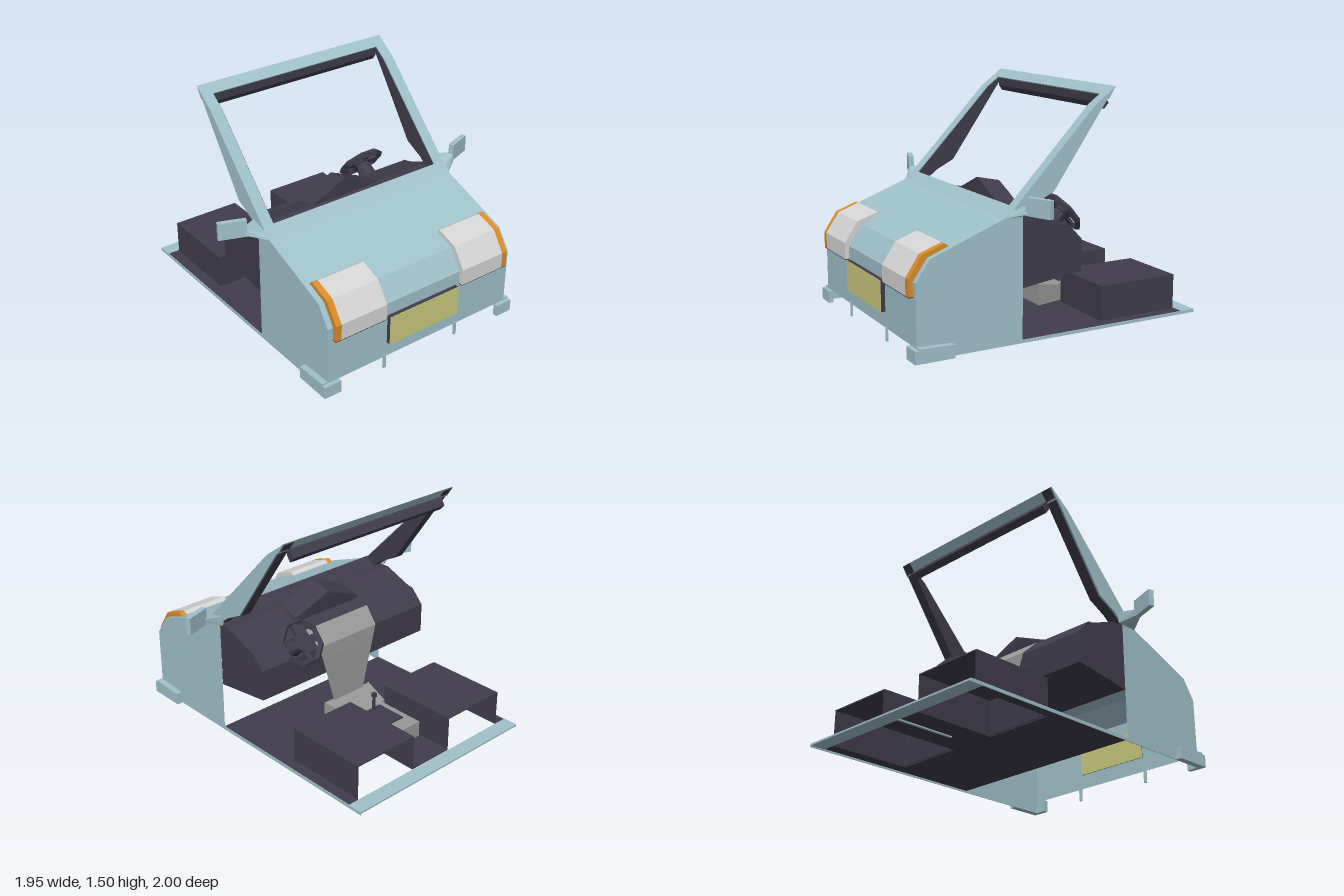
import * as THREE from 'three';
import { ConvexGeometry } from 'three/addons/geometries/ConvexGeometry.js';

const paint = (name, color) => {
  const m = new THREE.MeshStandardMaterial({ color, flatShading: true, side: THREE.DoubleSide });
  m.name = name;
  return m;
};

export function createModel() {
  const root = new THREE.Group();
  root.name = 'vanCab';
  const blue = paint('bodyBlue', 0xa0c1cb), dark = paint('interiorDark', 0x403c4c), grey = paint('consoleGrey', 0x989898);
  const glass = paint('lampWhite', 0xd6d6d6), orange = paint('indicatorOrange', 0xda8d2b), yellow = paint('plateYellow', 0xcaca7e);

  const add = (name, geo, mat, parent = root) => {
    const m = new THREE.Mesh(geo, mat);
    m.name = name;
    parent.add(m);
    return m;
  };
  // box given by its limits
  const box = (name, mat, x0, x1, y0, y1, z0, z1) =>
    add(name, new THREE.BoxGeometry(x1 - x0, y1 - y0, z1 - z0)
      .translate((x0 + x1) / 2, (y0 + y1) / 2, (z0 + z1) / 2), mat);
  // side profile of [z, y] points, extruded from x0 to x1
  const prism = (name, mat, pts, x0, x1) => {
    const shape = new THREE.Shape(pts.map(([z, y]) => new THREE.Vector2(-z, y)));
    const geo = new THREE.ExtrudeGeometry(shape, { depth: x1 - x0, bevelEnabled: false });
    return add(name, geo.rotateY(Math.PI / 2).translate(x0, 0, 0), mat);
  };
  // open strip through [halfWidth, y, z] rows, top row first
  const sheet = (name, mat, rows) => {
    const geo = new THREE.PlaneGeometry(1, 1, 1, rows.length - 1);
    rows.forEach(([w, y, z], i) => {
      geo.attributes.position.setXYZ(i * 2, -w, y, z);
      geo.attributes.position.setXYZ(i * 2 + 1, w, y, z);
    });
    const flat = geo.toNonIndexed();
    flat.computeVertexNormals();
    return add(name, flat, mat);
  };
  const hull = (name, mat, pts) => add(name, new ConvexGeometry(pts.map(p => new THREE.Vector3(...p))), mat);
  // same part on both sides: limits given for the left
  const span = (s, a, b) => s > 0 ? [a, b] : [-b, -a];

  // nose shell, open underneath
  sheet('noseShell', blue, [[0.71, 0.83, 0.33], [0.71, 0.77, 0.4], [0.71, 0.59, 0.88], [0.71, 0.46, 0.97], [0.71, 0.08, 0.97]]);
  sheet('cowlLining', dark, [[0.7, 0.77, 0.27], [0.7, 0.828, 0.328]]);

  // number plate
  box('plateHolder', dark, -0.27, 0.27, 0.18, 0.375, 0.966, 0.997);
  box('plateFront', yellow, -0.27, 0.27, 0.18, 0.375, 0.997, 1.0);
  box('plateBack', yellow, -0.27, 0.27, 0.18, 0.375, 0.963, 0.966);

  // floor with openings under the seats
  box('floorFront', dark, -0.705, 0.705, 0.012, 0.02, -0.33, 0.28);
  box('floorMiddle', dark, -0.155, 0.155, 0.012, 0.02, -0.89, -0.33);
  box('rearSill', blue, -0.71, 0.71, 0.008, 0.02, -1.0, -0.9);
  box('floorRib', blue, -0.008, 0.008, 0.004, 0.012, -0.9, -0.5);

  const lampOuter = [[0.998, 0.375], [0.998, 0.48], [0.91, 0.61], [0.77, 0.66], [0.742, 0.642]];
  const lampInner = [[0.87, 0.588], [0.965, 0.455], [0.965, 0.375]];
  const post = [[0.4, 0.77], [0.33, 0.83], [-0.21, 1.39], [-0.355, 1.495], [-0.3, 1.425], [-0.26, 1.37], [0.07, 0.9], [0.2, 0.835], [0.28, 0.77]];
  for (const s of [1, -1]) {
    // side panel, sill and bumper corner
    prism('sidePanel', blue, [[0.28, 0], [0.97, 0], [0.97, 0.46], [0.88, 0.59], [0.4, 0.77], [0.28, 0.77]], ...span(s, 0.705, 0.71));
    box('sideSill', blue, ...span(s, 0.705, 0.71), 0, 0.02, -1, 0.28);
    box('floorSide', dark, ...span(s, 0.63, 0.705), 0.012, 0.02, -0.9, -0.33);
    prism('bumperSide', blue, [[0.745, 0], [0.745, 0.08], [0.97, 0.09], [0.97, 0]], ...span(s, 0.71, 0.75));
    box('bumperCorner', blue, ...span(s, 0.63, 0.75), 0, 0.08, 0.965, 0.997);
    box('bumperTab', blue, ...span(s, 0.275, 0.295), 0, 0.09, 0.965, 0.975);

    // head lamp and indicator
    prism('headLamp', glass, [...lampOuter, ...lampInner], ...span(s, 0.3, 0.632));
    prism('indicator', orange, [...lampOuter, ...lampInner], ...span(s, 0.632, 0.672));
    box('lampBase', dark, ...span(s, 0.3, 0.672), 0.37, 0.376, 0.966, 0.997);

    // windscreen post with dark lining inside and behind
    prism('windscreenPost', blue, post, ...span(s, 0.635, 0.71));
    prism('postLining', dark, post.map(([z, y]) => [z - 0.005, y - 0.004]), ...span(s, 0.63, 0.7));

    // door mirror
    const arm = [[0.71, 0.77, 0.39], [0.71, 0.77, 0.24], [0.71, 0.84, 0.23], [0.71, 0.81, 0.36],
      [0.82, 0.805, 0.32], [0.82, 0.84, 0.31], [0.82, 0.805, 0.29], [0.82, 0.84, 0.28]];
    hull('mirrorArm', blue, arm.map(([x, y, z]) => [s * x, y, z]));
    const mirror = add('mirror', new THREE.BoxGeometry(0.175, 0.11, 0.035), blue);
    mirror.position.set(s * 0.888, 0.852, 0.272);
    mirror.rotation.y = s * 0.35;

    // hollow seat base, open at the back and below
    box('seatTop', dark, ...span(s, 0.155, 0.63), 0.24, 0.247, -0.89, -0.33);
    box('seatFront', dark, ...span(s, 0.155, 0.63), 0.02, 0.24, -0.337, -0.33);
    box('seatOuterSide', dark, ...span(s, 0.623, 0.63), 0.012, 0.24, -0.89, -0.337);
    box('seatInnerSide', dark, ...span(s, 0.155, 0.162), 0.012, 0.24, -0.89, -0.337);
  }

  // windscreen header
  prism('header', blue, [[-0.295, 1.448], [-0.355, 1.497], [-0.31, 1.425]], -0.71, 0.71);
  prism('headerLining', dark, [[-0.3, 1.446], [-0.3, 1.39], [-0.325, 1.355], [-0.357, 1.39], [-0.33, 1.43]], -0.635, 0.635);

  // dashboard
  prism('dashboard', dark, [[0.28, 0.335], [0.28, 0.768], [0.2, 0.768], [0, 0.69], [-0.04, 0.685],
    [-0.13, 0.59], [-0.13, 0.39]], -0.704, 0.704);
  hull('dashCrown', dark, [-1, 1].flatMap(s => [[s * 0.27, 0.69, 0.06], [s * 0.27, 0.74, 0.06], [s * 0.27, 0.7, 0.2],
    [s * 0.25, 0.775, 0.21]]).concat([[0, 0.885, 0.21], [0, 0.85, 0.05], [0.12, 0.8, 0.05], [-0.12, 0.8, 0.05]]));

  // centre stack and console
  sheet('centreStack', grey, [[0.27, 0.692, -0.036], [0.25, 0.595, -0.14], [0.22, 0.5, -0.145], [0.13, 0.17, -0.15]]);
  hull('consoleFoot', grey, [[0.2, -0.135, 0.175], [0.155, -0.33, 0.14]].flatMap(([x, z, y]) =>
    [-1, 1].flatMap(s => [[s * x, y, z], [s * x, 0.035, z]])));
  box('consoleRear', grey, -0.125, 0.125, 0.035, 0.14, -0.675, -0.325);
  box('gearPanel', dark, -0.08, 0.08, 0.14, 0.148, -0.575, -0.36);
  box('gearLever', dark, -0.008, 0.008, 0.148, 0.25, -0.395, -0.38);
  box('gearKnob', dark, -0.013, 0.013, 0.25, 0.277, -0.402, -0.375);

  // steering wheel, tilted back, with its column
  const wheel = new THREE.Group();
  wheel.name = 'steeringWheel';
  wheel.position.set(0.418, 0.703, -0.165);
  wheel.rotation.x = Math.PI + 0.69;
  root.add(wheel);
  add('rim', new THREE.TorusGeometry(0.142, 0.022, 4, 8).rotateZ(Math.PI / 8), dark, wheel);
  add('hub', new THREE.CylinderGeometry(0.06, 0.06, 0.03, 8).rotateX(Math.PI / 2), dark, wheel);
  add('crossSpoke', new THREE.BoxGeometry(0.27, 0.05, 0.02), dark, wheel);
  add('uprightSpoke', new THREE.BoxGeometry(0.04, 0.27, 0.02), dark, wheel);
  add('column', new THREE.CylinderGeometry(0.045, 0.07, 0.17, 8).rotateX(Math.PI / 2).translate(0, 0, -0.09), dark, wheel);

  return root;
}
